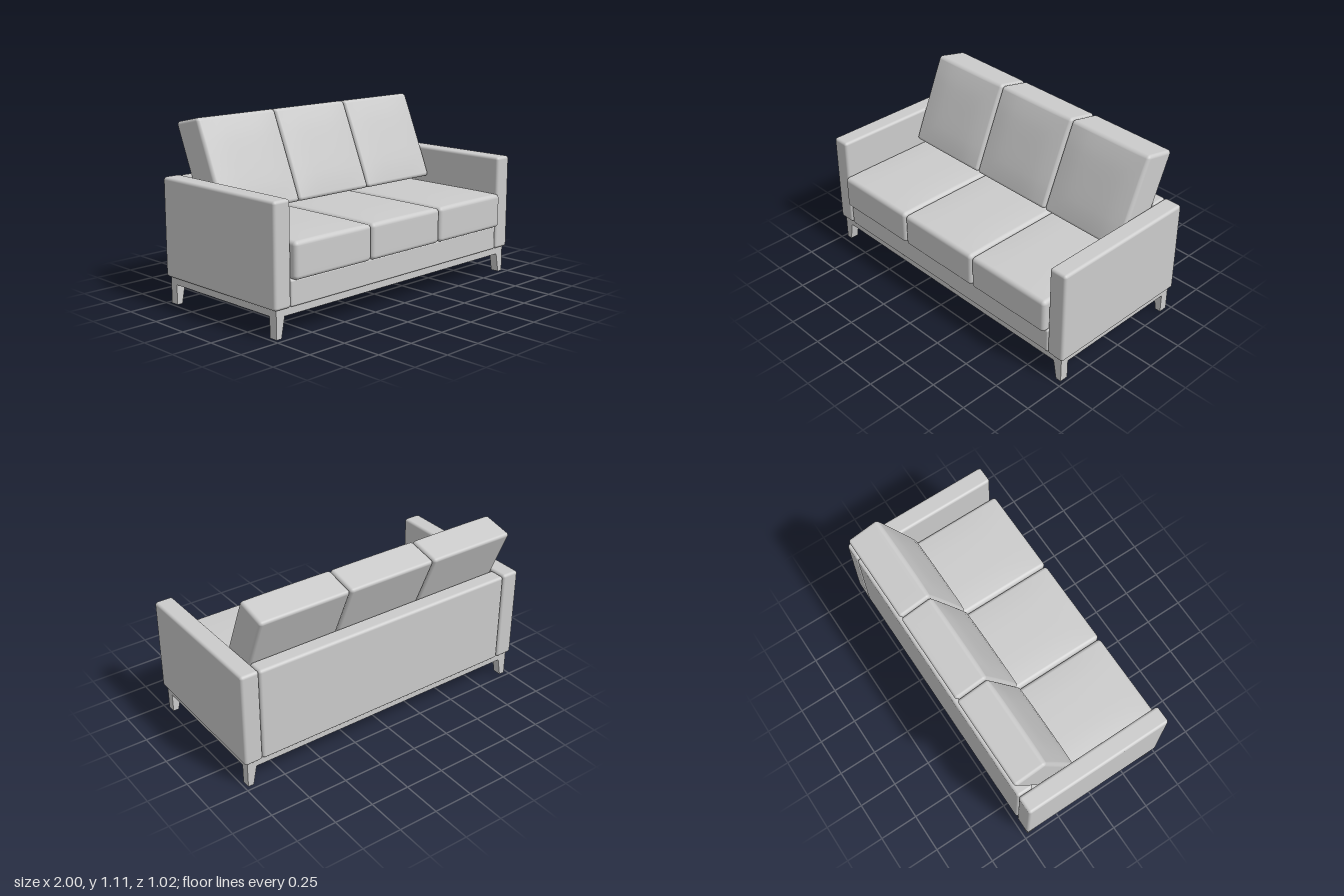
import * as THREE from 'three';
import { mergeVertices } from 'three/addons/utils/BufferGeometryUtils.js';
import { RoundedBoxGeometry } from 'three/addons/geometries/RoundedBoxGeometry.js';

const material = new THREE.MeshStandardMaterial({ color: 0xcccccc });

function addMesh(parent, name, geometry, x = 0, y = 0, z = 0) {
  const mesh = new THREE.Mesh(geometry, material);
  mesh.name = name;
  mesh.position.set(x, y, z);
  parent.add(mesh);
  return mesh;
}

// Upholstered block given by its extents
function addBlock(parent, name, [x0, x1], [y0, y1], [z0, z1], radius = 0.018) {
  const geometry = new RoundedBoxGeometry(x1 - x0, y1 - y0, z1 - z0, 4, radius);
  return addMesh(parent, name, geometry, (x0 + x1) / 2, (y0 + y1) / 2, (z0 + z1) / 2);
}

// Rounded box with a puffed face: axis 'y' puffs the top, axis 'z' the front
function cushionGeometry(w, h, d, radius, axis, puff) {
  const n = 16, rim = 4;
  const half = new THREE.Vector3(w, h, d).multiplyScalar(0.5);
  const inner = half.clone().subScalar(radius);
  const geometry = new THREE.BoxGeometry(2, 2, 2, n, n, n);
  const pos = geometry.attributes.position;
  const p = new THREE.Vector3(), core = new THREE.Vector3();

  // Gather the outer rows of the grid into the rounded rim
  const spread = (t, a) => {
    const flat = 1 - (2 * rim) / n, m = Math.abs(t);
    if (m <= flat) return (t / flat) * inner[a];
    const angle = ((m - flat) / (1 - flat)) * Math.PI / 4;
    return Math.sign(t) * (inner[a] + radius * Math.tan(angle));
  };

  for (let i = 0; i < pos.count; i++) {
    p.fromBufferAttribute(pos, i);
    p.set(spread(p.x, 'x'), spread(p.y, 'y'), spread(p.z, 'z'));
    core.copy(p).clamp(inner.clone().negate(), inner);
    p.sub(core).setLength(radius).add(core);
    const other = axis === 'y' ? 'z' : 'y';
    if (p[axis] > 0) {
      const bump = (1 - (p.x / half.x) ** 4) * (1 - (p[other] / half[other]) ** 4);
      p[axis] += puff * Math.max(0, bump) * (p[axis] / half[axis]);
    }
    pos.setXYZ(i, p.x, p.y, p.z);
  }
  geometry.deleteAttribute('normal');
  geometry.deleteAttribute('uv');
  return mergeVertices(geometry, 1e-5);
}

export function createModel() {
  const sofa = new THREE.Group();
  sofa.name = 'sofa';

  // Upholstered body
  for (const [side, s] of [['left', 1], ['right', -1]]) {
    const arm = addBlock(sofa, side + 'Arm', [0.884, 1], [0.165, 0.762], [-0.491, 0.485]);
    arm.position.x *= s;
  }
  addBlock(sofa, 'backPanel', [-0.882, 0.882], [0.165, 0.758], [-0.491, -0.385]);
  addBlock(sofa, 'seatBase', [-0.882, 0.882], [0.165, 0.317], [-0.4, 0.48], 0.012);

  // Three seat cushions and three leaning back cushions
  const seat = cushionGeometry(0.583, 0.214, 0.895, 0.025, 'y', 0.012);
  seat.computeVertexNormals();
  const back = cushionGeometry(0.583, 0.537, 0.206, 0.02, 'z', 0.016);
  const lean = new THREE.Matrix4().set(
    1, 0, 0, 0,
    0, 1, 0.22, 0,
    0, -0.42, 1, 0,
    0, 0, 0, 1);
  back.applyMatrix4(lean);
  back.computeVertexNormals();
  ['right', 'middle', 'left'].forEach((place, i) => {
    const x = (i - 1) * 0.587;
    addMesh(sofa, place + 'SeatCushion', seat, x, 0.424, 0.067);
    addMesh(sofa, place + 'BackCushion', back, x, 0.82, -0.3);
  });

  // Plinth frame under the body
  addMesh(sofa, 'frame', new THREE.BoxGeometry(1.956, 0.045, 0.938), 0, 0.1445, -0.003);

  // Legs: straight outer face, tapered inner face
  const profile = new THREE.Shape([
    new THREE.Vector2(0, 0), new THREE.Vector2(0, 0.125),
    new THREE.Vector2(-0.06, 0.125), new THREE.Vector2(-0.036, 0)]);
  const leg = new THREE.ExtrudeGeometry(profile, { depth: 0.054, bevelEnabled: false });
  leg.translate(0, 0, -0.027);
  for (const [end, z] of [['front', 0.439], ['back', -0.445]]) {
    addMesh(sofa, end + 'LeftLeg', leg, 0.978, 0, z);
    addMesh(sofa, end + 'RightLeg', leg, -0.978, 0, z).rotation.y = Math.PI;
  }
  return sofa;
}
